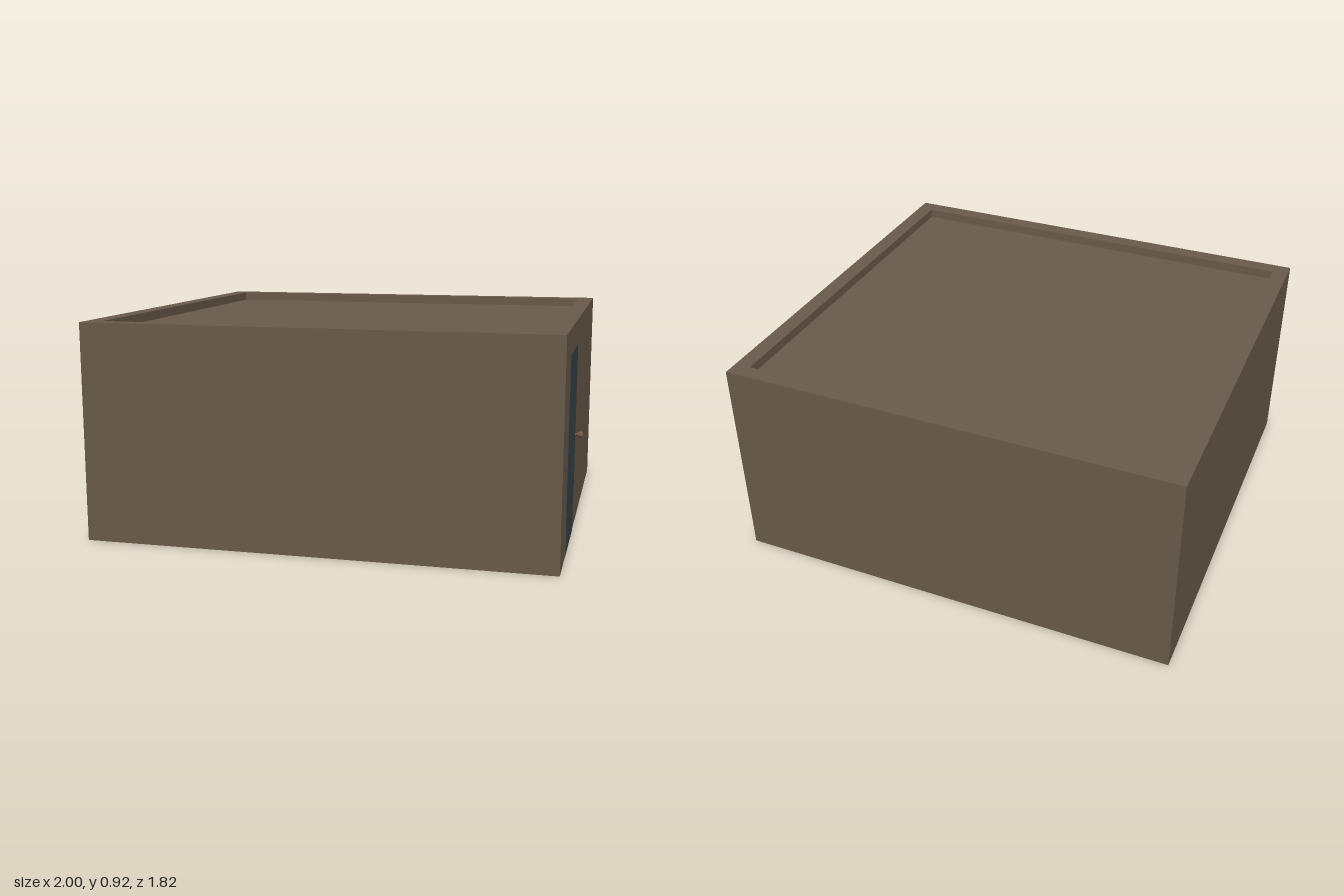
import * as THREE from 'three';

const X0 = -1, X1 = 0.965, Z = 0.91, H = 0.92, T = 0.07;
const CEILING = 0.81, ROOF = 0.88;
const DOOR_Z0 = 0.24, DOOR_Z1 = 0.67;

export function createModel() {
  const group = new THREE.Group();
  const wallMat = new THREE.MeshStandardMaterial({ color: 0x6a5b4c, side: THREE.DoubleSide });
  wallMat.name = 'brown plaster';
  const doorMat = new THREE.MeshStandardMaterial({ color: 0x39454c });
  doorMat.name = 'slate blue door';
  const knobMat = new THREE.MeshStandardMaterial({ color: 0x755c44 });
  knobMat.name = 'bronze';

  const add = (name, geometry, material, x = 0, y = 0, z = 0) => {
    const mesh = new THREE.Mesh(geometry, material);
    mesh.name = name;
    mesh.position.set(x, y, z);
    group.add(mesh);
    return mesh;
  };
  const shapeOf = (pts) => new THREE.Shape(pts.map(([a, b]) => new THREE.Vector2(a, b)));
  const rect = (a0, b0, a1, b1) => [[a0, b0], [a1, b0], [a1, b1], [a0, b1]];
  const panel = (name, w, h, x, y, z, turn) =>
    add(name, new THREE.PlaneGeometry(w, h).rotateY(turn), wallMat, x, y, z);

  const cx = (X0 + X1) / 2, w = X1 - X0, d = 2 * Z;

  // Outer and inner skins of the plain walls, open underneath
  for (const [label, t, flip] of [['outer', 0, 0], ['inner', T, Math.PI]]) {
    panel(label + 'FrontWall', w - 2 * t, H, cx, H / 2, Z - t, flip);
    panel(label + 'BackWall', w - 2 * t, H, cx, H / 2, -Z + t, Math.PI + flip);
    panel(label + 'LeftEndWall', d - 2 * t, H, X0 + t, H / 2, 0, -Math.PI / 2 + flip);
  }

  // Worn door outline, as [z, y] from the lower front corner round to the rear
  const outline = [
    [0.65, 0], [0.635, 0.09], [0.665, 0.16], [0.665, 0.7], [0.66, 0.74], [0.665, 0.79], [0.645, 0.815],
    [0.27, 0.812], [0.243, 0.79], [0.25, 0.68], [0.243, 0.2], [0.278, 0.11], [0.262, 0]
  ].map(([z, y]) => [-z, y]);

  // Doorway wall: outer skin cut to the door outline, inner skin to a plain opening
  const outer = shapeOf([[-Z, 0], ...outline, [Z, 0], [Z, H], [-Z, H]]);
  add('outerDoorWall', new THREE.ShapeGeometry(outer).rotateY(Math.PI / 2), wallMat, X1);
  const e = Z - T;
  const inner = shapeOf([[-e, 0], [-DOOR_Z1, 0], [-DOOR_Z1, CEILING], [-DOOR_Z0, CEILING],
    [-DOOR_Z0, 0], [e, 0], [e, H], [-e, H]]);
  const innerGeo = new THREE.ShapeGeometry(inner).scale(-1, 1, 1).rotateY(-Math.PI / 2);
  // Reverse the corner order so the mirrored skin faces indoors
  innerGeo.setIndex(Array.from(innerGeo.index.array).reverse());
  innerGeo.computeVertexNormals();
  add('innerDoorWall', innerGeo, wallMat, X1 - T);
  panel('frontJamb', T, CEILING, X1 - T / 2, CEILING / 2, DOOR_Z1, Math.PI);
  panel('rearJamb', T, CEILING, X1 - T / 2, CEILING / 2, DOOR_Z0, 0);

  // Parapet rim and recessed roof slab
  const rim = shapeOf(rect(X0, -Z, X1, Z));
  rim.holes.push(new THREE.Path(rect(X0 + T, -e, X1 - T, e).map(([a, b]) => new THREE.Vector2(a, b))));
  add('parapetRim', new THREE.ShapeGeometry(rim).rotateX(-Math.PI / 2), wallMat, 0, H, 0);
  add('roof', new THREE.BoxGeometry(w - 2 * T, ROOF - CEILING, d - 2 * T), wallMat,
    cx, (ROOF + CEILING) / 2, 0);

  // Door leaf
  const leaf = new THREE.ExtrudeGeometry(shapeOf(outline), { depth: 0.03, bevelEnabled: false });
  add('door', leaf.rotateY(Math.PI / 2), doorMat, X1 - 0.029);

  // Door knob: stem and rounded grip
  const profile = [[0, 0], [0.007, 0], [0.007, 0.014], [0.014, 0.018], [0.015, 0.027], [0.01, 0.035], [0, 0.035]]
    .map(([r, h]) => new THREE.Vector2(r, h));
  add('doorKnob', new THREE.LatheGeometry(profile, 12).rotateZ(-Math.PI / 2), knobMat, X1, 0.427, 0.28);

  // Small worn fleck on the door
  const fleck = shapeOf([[-0.452, 0.51], [-0.44, 0.515], [-0.43, 0.522], [-0.442, 0.528], [-0.452, 0.52]]);
  add('doorFleck', new THREE.ShapeGeometry(fleck).rotateY(Math.PI / 2), wallMat, X1 + 0.003);

  return group;
}
